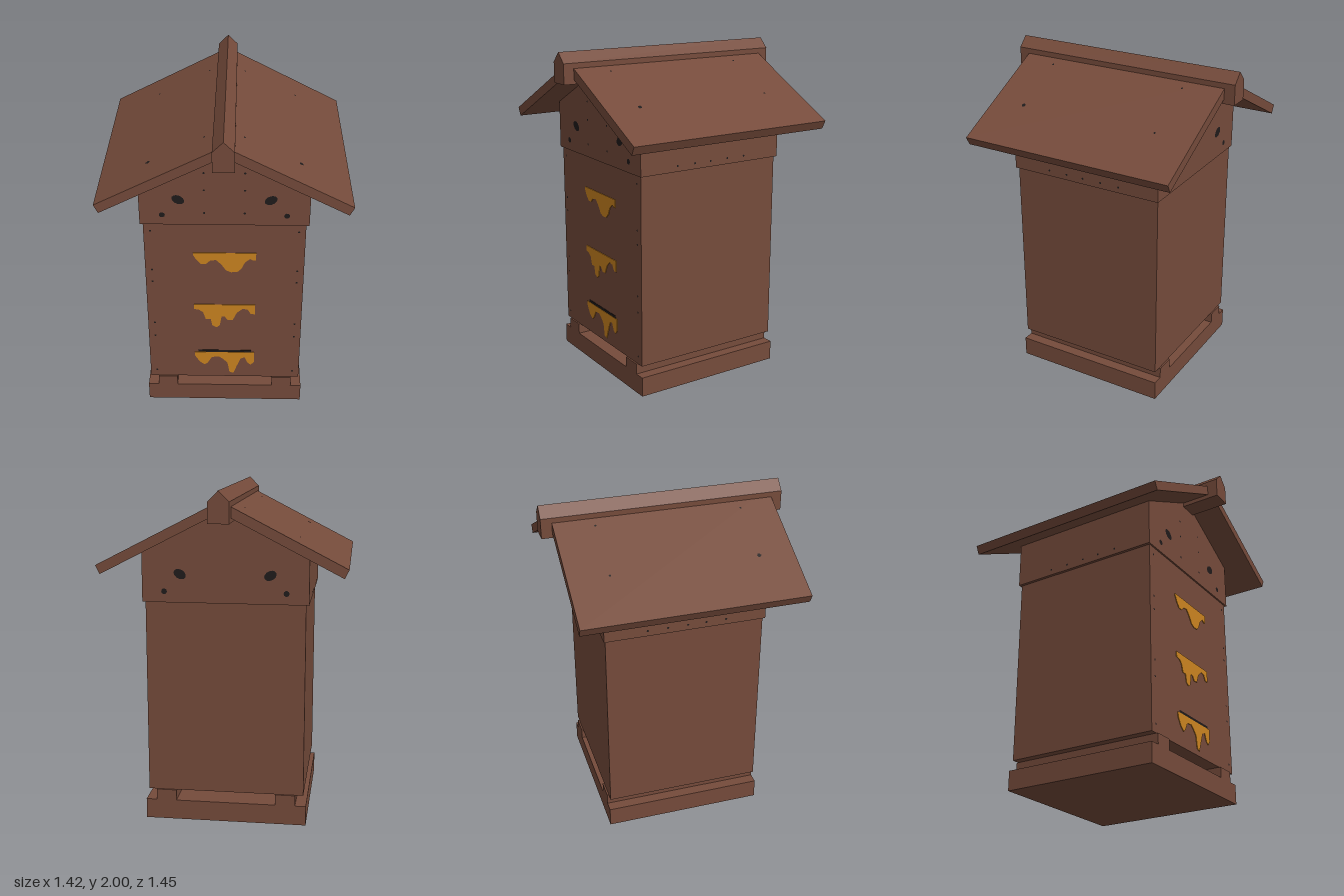
import * as THREE from 'three';

export function createModel() {
  const model = new THREE.Group();
  const mat = (name, color) => {
    const m = new THREE.MeshStandardMaterial({ color });
    m.name = name;
    return m;
  };
  const wood = mat('brown wood', 0x754b3b);
  const honey = mat('honey', 0xcc8420);
  const dark = mat('dark iron and knots', 0x1f1b1b);

  const add = (name, geometry, material, x = 0, y = 0, z = 0) => {
    const mesh = new THREE.Mesh(geometry, material);
    mesh.name = name;
    mesh.position.set(x, y, z);
    model.add(mesh);
    return mesh;
  };
  const box = (name, w, y0, y1, d, x = 0) =>
    add(name, new THREE.BoxGeometry(w, y1 - y0, d), wood, x, (y0 + y1) / 2, 0);
  // Front outline pushed along z from z0 to z1
  const slab = (name, points, z0, z1, material) => {
    const shape = new THREE.Shape(points.map(([x, y]) => new THREE.Vector2(x, y)));
    return add(name, new THREE.ExtrudeGeometry(shape, { depth: z1 - z0, bevelEnabled: false }), material, 0, 0, z0);
  };

  // Base, runners and hive body
  box('base', 0.97, 0, 0.12, 0.97);
  for (const s of [-1, 1]) box('runner', 0.12, 0.12, 0.185, 0.97, s * 0.36);
  box('hiveBody', 0.936, 0.185, 1.34, 0.95);

  // Gabled top box
  slab('gableBox', [[-0.485, 1.34], [0.485, 1.34], [0.485, 1.628], [0, 1.878], [-0.485, 1.628]],
    -0.485, 0.485, wood);

  // Roof boards and ridge beam
  slab('roofBoardLeft', [[0, 1.877], [0.685, 1.525], [0.71, 1.575], [0, 1.94]], -0.663, 0.663, wood);
  slab('roofBoardRight', [[0, 1.94], [-0.71, 1.575], [-0.685, 1.525], [0, 1.877]], -0.663, 0.663, wood);
  slab('ridgeBeam', [[-0.06, 1.82], [0.06, 1.82], [0.06, 1.94], [0, 2], [-0.06, 1.94]], -0.727, 0.727, wood);

  // Dripping honey below three slots
  const drips = [
    [1.14, [[-0.185, 1.125], [-0.165, 1.09], [-0.14, 1.06], [-0.11, 1.06], [-0.085, 1.085], [-0.05, 1.09],
      [-0.02, 1.06], [0.01, 1.015], [0.04, 1.003], [0.075, 1.005], [0.1, 1.03], [0.12, 1.075], [0.15, 1.1],
      [0.17, 1.088], [0.185, 1.09]]],
    [0.76, [[-0.185, 0.725], [-0.155, 0.72], [-0.13, 0.7], [-0.115, 0.65], [-0.085, 0.65], [-0.075, 0.6],
      [-0.05, 0.585], [-0.03, 0.6], [-0.018, 0.67], [0, 0.67], [0.02, 0.642], [0.05, 0.645], [0.075, 0.7],
      [0.11, 0.73], [0.14, 0.725], [0.16, 0.69], [0.185, 0.69]]],
    [0.385, [[-0.185, 0.355], [-0.155, 0.305], [-0.125, 0.283], [-0.105, 0.3], [-0.08, 0.345], [-0.035, 0.35],
      [-0.01, 0.33], [0.018, 0.3], [0.03, 0.225], [0.055, 0.215], [0.075, 0.27], [0.1, 0.335], [0.125, 0.345],
      [0.145, 0.3], [0.165, 0.285], [0.185, 0.31]]],
  ];
  for (const [top, edge] of drips)
    slab('honeyDrip', [...edge, [0.185, top], [-0.185, top]], 0.474, 0.479, honey);
  add('entranceSlot', new THREE.BoxGeometry(0.33, 0.016, 0.004), dark, 0, 0.393, 0.475);

  // Wood knots on both gables
  for (const f of [-1, 1]) for (const s of [-1, 1]) {
    const big = add('knot', new THREE.CircleGeometry(1, 14), dark, s * 0.262, 1.507, f * 0.487);
    big.scale.set(0.038, 0.027, 1);
    const small = add('smallKnot', new THREE.CircleGeometry(0.017, 10), dark, s * 0.355, 1.405, f * 0.487);
    if (f < 0) big.rotation.y = small.rotation.y = Math.PI;
    big.rotation.z = s * f * 0.5;
  }

  // Nail heads
  const nailGeometry = new THREE.CircleGeometry(0.007, 6);
  const nail = (x, y, z, normal) => {
    const n = add('nail', nailGeometry, dark, x, y, z);
    n.quaternion.setFromUnitVectors(new THREE.Vector3(0, 0, 1), normal.normalize());
    return n;
  };
  for (const s of [-1, 1]) {
    for (const y of [0.235, 0.515, 0.615, 0.93, 1.015, 1.29])
      nail(s * 0.428, y, 0.477, new THREE.Vector3(0, 0, 1));
    for (const y of [1.42, 1.57, 1.68]) nail(s * 0.115, y, 0.487, new THREE.Vector3(0, 0, 1));
    for (const z of [-0.23, -0.11, 0.01, 0.12, 0.24])
      nail(s * 0.487, 1.375, z, new THREE.Vector3(s, 0, 0));
    for (const z of [-0.425, 0.45]) for (const x of [0.11, 0.425]) {
      const n = nail(s * x, 1.942 - x * 0.514, z, new THREE.Vector3(s * 0.457, 0.889, 0));
      if (z > 0 && x > 0.2) n.scale.setScalar(1.9);
    }
  }
  return model;
}
